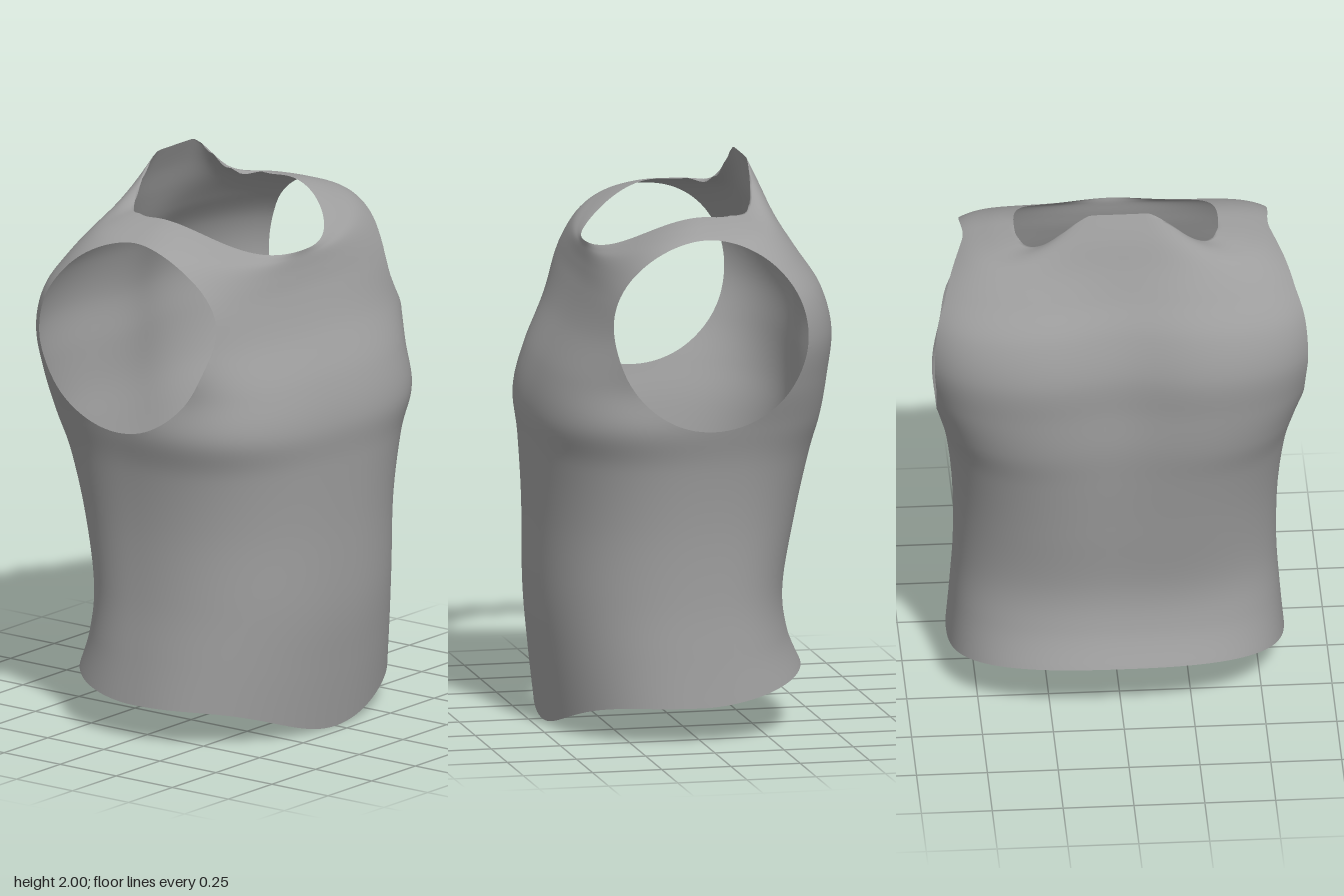
import * as THREE from 'three';
import { mergeVertices } from 'three/addons/utils/BufferGeometryUtils.js';

// Cross-sections from hem to neckline:
// y front, y side, y back, half width front, half width back, depth front, depth back, squareness, spine groove
const RINGS = [
  [0.0, 0.13, 0.215, 0.595, 0.595, 0.45, 0.445, 2.35, 0],
  [0.22, 0.3, 0.34, 0.58, 0.58, 0.475, 0.395, 2.35, 0.005],
  [0.45, 0.5, 0.5, 0.568, 0.568, 0.495, 0.38, 2.35, 0.01],
  [0.75, 0.75, 0.75, 0.573, 0.573, 0.497, 0.425, 2.4, 0.02],
  [0.98, 0.98, 0.98, 0.6, 0.6, 0.503, 0.47, 2.6, 0.03],
  [1.13, 1.13, 1.13, 0.637, 0.637, 0.508, 0.5, 2.9, 0.04],
  [1.28, 1.28, 1.28, 0.635, 0.69, 0.465, 0.515, 3, 0.05],
  [1.44, 1.44, 1.44, 0.695, 0.727, 0.38, 0.525, 3, 0.055],
  [1.56, 1.585, 1.59, 0.725, 0.715, 0.332, 0.485, 3, 0.05],
  [1.63, 1.7, 1.71, 0.65, 0.655, 0.312, 0.41, 2.8, 0.03],
  [1.675, 1.785, 1.81, 0.56, 0.56, 0.303, 0.35, 2.5, 0.01],
  [1.695, 1.825, 1.91, 0.455, 0.455, 0.3, 0.305, 2.2, 0],
  [1.71, 1.845, 2.0, 0.36, 0.36, 0.3, 0.265, 2, 0],
];
const { lerp, smoothstep } = THREE.MathUtils;

// Smooth blend of the cross-section values at t = 0..1
function ringAt(t) {
  const last = RINGS.length - 1;
  const i = Math.min(Math.floor(t * last), last - 1);
  const f = t * last - i;
  const [a, b, c, d] = [-1, 0, 1, 2].map((k) => RINGS[Math.min(Math.max(i + k, 0), last)]);
  return b.map((q, k) => {
    const m0 = (c[k] - a[k]) / 2, m1 = (d[k] - q) / 2;
    return q + f * (m0 + f * (3 * (c[k] - q) - 2 * m0 - m1 + f * (2 * (q - c[k]) + m0 + m1)));
  });
}

// Point on the garment surface at an angle around the body
function surfacePoint(ring, t, angle) {
  const [yf, ys, yb, wf, wb, zf, zb, square, groove] = ring;
  const c = Math.cos(angle), s = Math.sin(angle);
  const n = s > 0 ? square : square + 0.2 + t ** 4;
  const r = (Math.abs(c) ** n + Math.abs(s) ** n) ** (-1 / n);
  const w = lerp(wb, wf, smoothstep(s, -0.5, 0.5));
  const X = Math.min(Math.abs(r * c), 1), Z = Math.abs(r * s);
  const x = w * r * c;
  const zc = -0.05 * t ** 4;
  if (s > 0) {
    // rounded dip at the hem, scooped neckline at the top
    const side = lerp((1 - Math.cos(Math.PI * X)) / 2, X ** 3.1, t);
    return new THREE.Vector3(x, lerp(yf, ys, side), zc + (zf - zc) * Z);
  }
  const z = zc - (zb + zc) * Z + groove * Math.exp(-((x / 0.2) ** 2)) * Math.min(-s * 1.5, 1);
  // hem climbs gently towards the back, collar stands up in the middle
  const side = lerp(1 - Z ** 1.6, smoothstep(X, 0.25, 0.9), smoothstep(t, 0, 0.7));
  let y = lerp(yb, ys, side);
  // slightly ragged collar edge
  if (t > 0.99) y -= 0.012 * Math.abs(Math.sin(x * 45)) * smoothstep(X, 0.3, 0.4) * smoothstep(-s, 0, 0.4);
  return new THREE.Vector3(x, y, z);
}

// Negative inside the armholes
function armhole(p) {
  if (Math.abs(p.x) < 0.42) return 1;
  return Math.hypot((p.z + 0.025) / 0.335, (p.y - 1.462) / 0.335) - 1;
}

// Adds a triangle, trimmed along the armhole edge
function addTrimmed(out, tri) {
  const poly = [];
  tri.forEach((p, i) => {
    const q = tri[(i + 1) % 3];
    const fp = armhole(p), fq = armhole(q);
    if (fp >= 0) poly.push(p);
    if (fp >= 0 !== fq >= 0) {
      // interpolate from the outer end so neighbours share the same point
      const [o, k, fo, fk] = fp >= 0 ? [p, q, fp, fq] : [q, p, fq, fp];
      poly.push(o.clone().lerp(k, fo / (fo - fk)));
    }
  });
  for (let i = 1; i + 1 < poly.length; i++) {
    for (const p of [poly[0], poly[i], poly[i + 1]]) out.push(p.x, p.y, p.z);
  }
}

export function createModel() {
  const group = new THREE.Group();
  group.name = 'sleevelessTop';
  const fabric = new THREE.MeshStandardMaterial({ color: 0x9e9e9e, side: THREE.DoubleSide });
  fabric.name = 'grey fabric';

  // Loft the rings, leaving hem, neck and armholes open
  const around = 128, up = 96;
  const grid = [];
  for (let j = 0; j <= up; j++) {
    const ring = ringAt(j / up);
    const row = [];
    for (let i = 0; i < around; i++) row.push(surfacePoint(ring, j / up, (i / around) * Math.PI * 2));
    grid.push(row);
  }
  const out = [];
  for (let j = 0; j < up; j++) {
    for (let i = 0; i < around; i++) {
      const k = (i + 1) % around;
      const a = grid[j][i], b = grid[j][k], c = grid[j + 1][k], d = grid[j + 1][i];
      addTrimmed(out, [a, d, b]);
      addTrimmed(out, [b, d, c]);
    }
  }
  let geometry = new THREE.BufferGeometry();
  geometry.setAttribute('position', new THREE.Float32BufferAttribute(out, 3));
  geometry = mergeVertices(geometry, 1e-5);
  geometry.computeVertexNormals();

  const body = new THREE.Mesh(geometry, fabric);
  body.name = 'shirtBody';
  group.add(body);
  return group;
}
